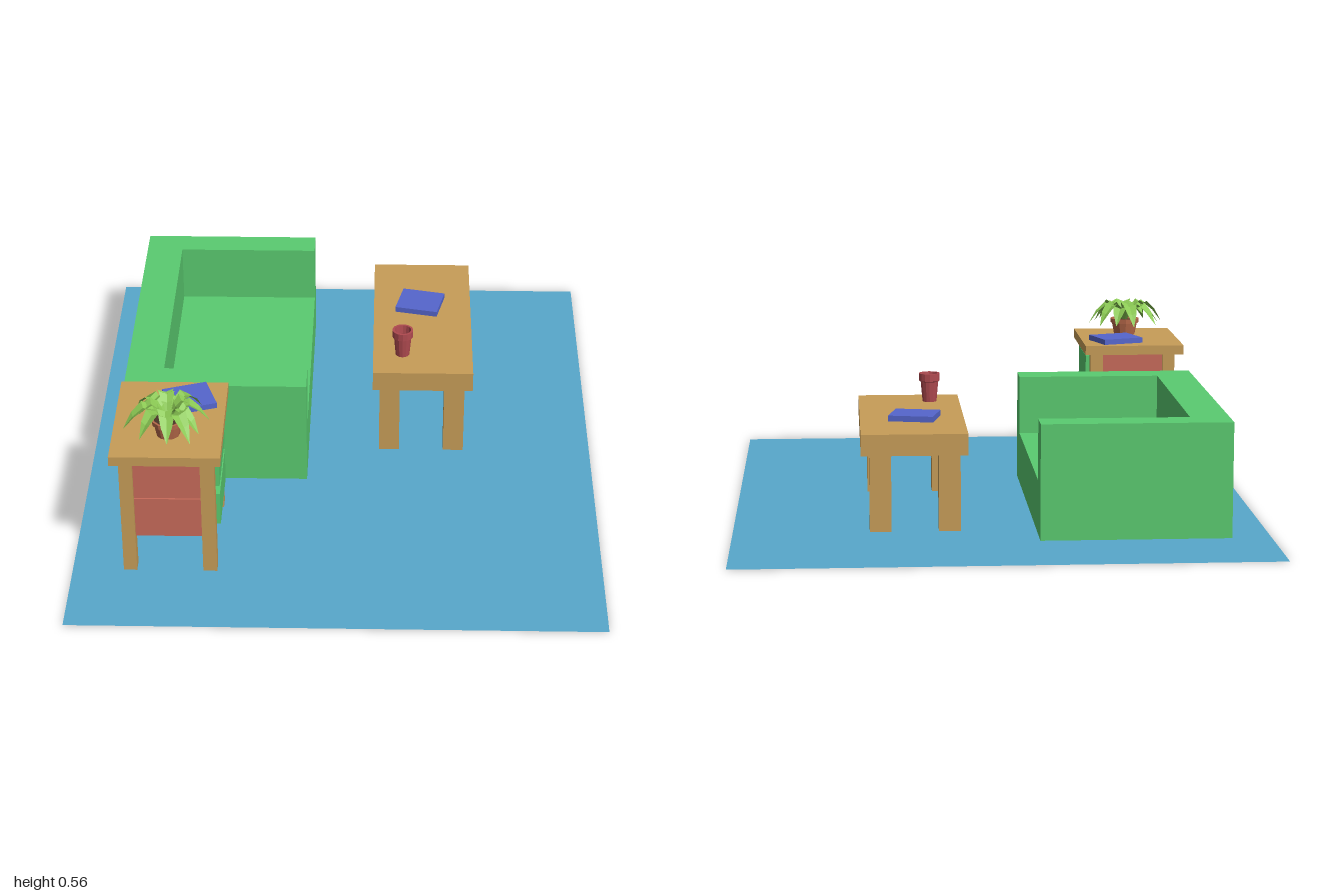
import * as THREE from 'three';

const mat = (color, opts = {}) => {
  const m = new THREE.MeshStandardMaterial({ flatShading: true, ...opts });
  m.color.set(color);
  return m;
};
const wood = mat(0xc79d58), green = mat(0x5acb70), red = mat(0xc86b5a), blue = mat(0x5566cc);
const rugBlue = mat(0x58a8cb, { side: THREE.DoubleSide });
const cupRed = mat(0xb04a50, { side: THREE.DoubleSide });
const clay = mat(0xb86a4a, { side: THREE.DoubleSide });
const soilBrown = mat(0x4a3426);
const leafGreen = mat(0x8ac853, { side: THREE.DoubleSide });

function add(parent, name, geometry, material) {
  const mesh = new THREE.Mesh(geometry, material);
  mesh.name = name;
  parent.add(mesh);
  return mesh;
}

// Box given by its limits on each axis
function box(parent, name, material, [x0, x1], [y0, y1], [z0, z1]) {
  const mesh = add(parent, name, new THREE.BoxGeometry(x1 - x0, y1 - y0, z1 - z0), material);
  mesh.position.set((x0 + x1) / 2, (y0 + y1) / 2, (z0 + z1) / 2);
  return mesh;
}

function group(parent, name) {
  const g = new THREE.Group();
  g.name = name;
  parent.add(g);
  return g;
}

function lathe(points, sides) {
  return new THREE.LatheGeometry(points.map(([r, y]) => new THREE.Vector2(r, y)), sides);
}

function book(parent, name, x, y, z, turn) {
  const b = add(parent, name, new THREE.BoxGeometry(0.142, 0.018, 0.127), blue);
  b.position.set(x, y + 0.009, z);
  b.rotation.y = turn;
}

// Arching leaf folded along its midrib, pointing along +x
function leafGeometry(length, rise, droop) {
  const positions = [], index = [];
  const halfWidths = [0.004, 0.017, 0.024, 0.017, 0];
  halfWidths.forEach((w, i) => {
    const t = i / (halfWidths.length - 1);
    const x = 0.008 + length * t;
    const y = rise * Math.sin(Math.PI * Math.min(1, t * 1.05)) - droop * t * t;
    positions.push(x, y + w * 0.4, -w, x, y, 0, x, y + w * 0.4, w);
    if (i) for (const k of [0, 1]) {
      const a = (i - 1) * 3 + k, b = a + 3;
      index.push(a, a + 1, b, b, a + 1, b + 1);
    }
  });
  const g = new THREE.BufferGeometry();
  g.setAttribute('position', new THREE.Float32BufferAttribute(positions, 3));
  g.setIndex(index);
  g.computeVertexNormals();
  return g;
}

function buildSofa(root) {
  const sofa = group(root, 'sofa');
  // Back and both arms as one U-shaped solid
  const plan = [[-0.69, -0.735], [-0.11, -0.735], [-0.11, -0.64], [-0.57, -0.64],
    [-0.57, 0.133], [-0.11, 0.133], [-0.11, 0.235], [-0.69, 0.235]];
  const shape = new THREE.Shape(plan.map(([x, z]) => new THREE.Vector2(x, -z)));
  const frame = new THREE.ExtrudeGeometry(shape, { depth: 0.355, bevelEnabled: false });
  frame.rotateX(-Math.PI / 2);
  add(sofa, 'backAndArms', frame, green).position.y = 0.01;
  box(sofa, 'seat', green, [-0.57, -0.11], [0.01, 0.176], [-0.64, 0.133]);
}

function buildCoffeeTable(root) {
  const table = group(root, 'coffeeTable');
  box(table, 'tableTop', wood, [0.1, 0.425], [0.253, 0.319], [-0.63, 0.075]);
  for (const x of [[0.122, 0.188], [0.333, 0.399]])
    for (const z of [[-0.597, -0.531], [-0.006, 0.06]])
      box(table, 'tableLeg', wood, x, [0.012, 0.253], z);
  book(table, 'tableBook', 0.255, 0.319, -0.359, -0.22);

  // Hollow tapered cup with a thicker rim band
  const cup = add(table, 'cup', lathe([[0, 0], [0.023, 0], [0.029, 0.065], [0.034, 0.068],
    [0.034, 0.092], [0.027, 0.092], [0.018, 0.012], [0, 0.012]], 14), cupRed);
  cup.position.set(0.196, 0.319, -0.045);
}

function buildSideTable(root) {
  const cabinet = group(root, 'sideTable');
  box(cabinet, 'cabinetTop', wood, [-0.685, -0.35], [0.406, 0.437], [0.327, 0.747]);
  for (const x of [[-0.658, -0.617], [-0.413, -0.37]])
    for (const z of [[0.357, 0.398], [0.692, 0.735]])
      box(cabinet, 'cabinetLeg', wood, x, [0.01, 0.406], z);

  // Two stacked drawer cases with raised fronts facing +x
  for (const [y0, y1] of [[0.13, 0.267], [0.271, 0.406]]) {
    box(cabinet, 'drawerCase', red, [-0.645, -0.385], [y0, y1], [0.37, 0.72]);
    box(cabinet, 'drawerFront', green, [-0.385, -0.36], [y0 + 0.01, y1 - 0.016], [0.423, 0.667]);
  }
  book(cabinet, 'cabinetBook', -0.464, 0.437, 0.434, 0.33);
}

function buildPlant(root) {
  const plant = group(root, 'pottedPlant');
  plant.position.set(-0.515, 0.437, 0.615);
  add(plant, 'pot', lathe([[0, 0], [0.036, 0], [0.044, 0.04], [0.049, 0.041],
    [0.05, 0.056], [0.043, 0.056], [0.041, 0.045]], 12), clay);
  add(plant, 'soil', new THREE.CylinderGeometry(0.042, 0.042, 0.006, 12), soilBrown).position.y = 0.046;

  // Outer ring of drooping leaves and an inner ring of shorter, upright ones
  for (const [count, length, rise, droop, offset] of [[11, 0.12, 0.052, 0.012, 0.1], [6, 0.075, 0.05, -0.025, 0.4]]) {
    for (let i = 0; i < count; i++) {
      const vary = 1 + 0.1 * Math.sin(i * 2.3);
      const leaf = add(plant, 'leaf', leafGeometry(length * vary, rise * vary, droop), leafGreen);
      leaf.position.y = 0.052;
      leaf.rotation.y = offset + (i + 0.2 * Math.sin(i * 1.7)) / count * Math.PI * 2;
    }
  }
}

export function createModel() {
  const root = new THREE.Group();
  root.name = 'livingRoomSet';
  const rug = add(root, 'rug', new THREE.PlaneGeometry(1.635, 2), rugBlue);
  rug.rotation.x = -Math.PI / 2;
  buildSofa(root);
  buildCoffeeTable(root);
  buildSideTable(root);
  buildPlant(root);
  return root;
}
